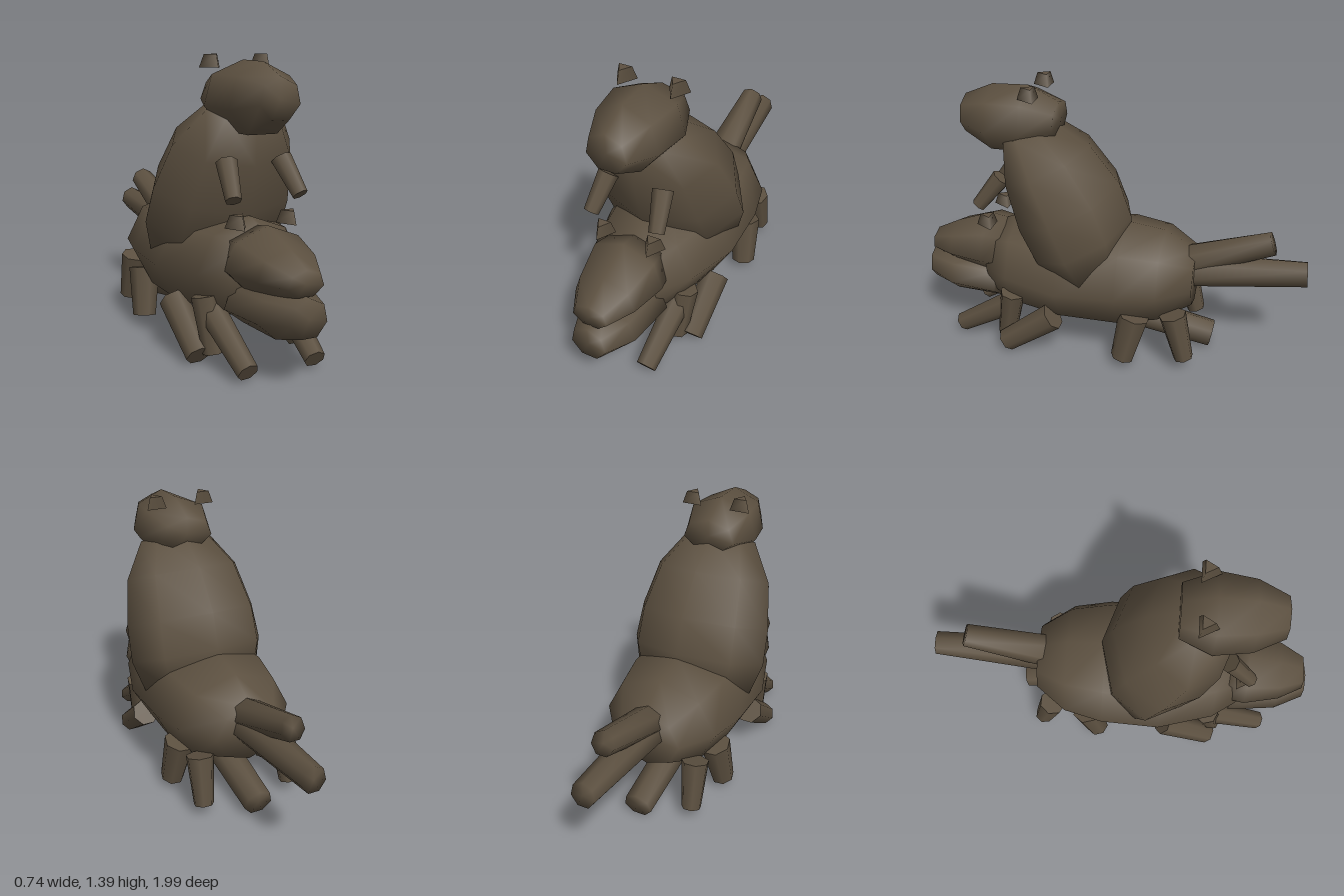
import * as THREE from 'three';

// Closed smooth loft through rings [z, y, halfWidth, halfHeight], front to back; tilt turns each ring upwards.
function loft(rings, sides, tilt = 0) {
  const pos = [], idx = [];
  const c = Math.cos(tilt), s = Math.sin(tilt);
  for (const [z, y, rx, ry] of rings) {
    for (let j = 0; j < sides; j++) {
      const a = (j / sides) * Math.PI * 2;
      const up = Math.cos(a) * ry;
      pos.push(Math.sin(a) * rx, y + up * c, z - up * s);
    }
  }
  for (let i = 0; i < rings.length - 1; i++) {
    for (let j = 0; j < sides; j++) {
      const k = (j + 1) % sides;
      const a = i * sides + j, b = i * sides + k;
      idx.push(a, b, a + sides, b, b + sides, a + sides);
    }
  }
  const front = pos.length / 3, back = front + 1, n = (rings.length - 1) * sides;
  const first = rings[0], last = rings[rings.length - 1];
  pos.push(0, first[1], first[0], 0, last[1], last[0]);
  for (let j = 0; j < sides; j++) {
    const k = (j + 1) % sides;
    idx.push(front, k, j, back, n + j, n + k);
  }
  const g = new THREE.BufferGeometry();
  g.setAttribute('position', new THREE.Float32BufferAttribute(pos, 3));
  g.setIndex(idx);
  g.computeVertexNormals();
  return g;
}

export function createModel() {
  const group = new THREE.Group();
  const fur = new THREE.MeshStandardMaterial({ color: 0x5c5040 });
  fur.name = 'brown fur';

  const add = (name, geometry) => {
    const mesh = new THREE.Mesh(geometry, fur);
    mesh.name = name;
    group.add(mesh);
    return mesh;
  };

  // Tapered prism from a to b
  const limb = (name, a, b, ra, rb, sides = 7) => {
    const p = new THREE.Vector3(...a), q = new THREE.Vector3(...b);
    const dir = q.clone().sub(p);
    const m = add(name, new THREE.CylinderGeometry(ra, rb, dir.length(), sides));
    m.position.copy(p).add(q).multiplyScalar(0.5);
    m.quaternion.setFromUnitVectors(new THREE.Vector3(0, -1, 0), dir.normalize());
  };

  // Lower body
  add('lowerBody', loft([
    [0.64, 0.43, 0.17, 0.19], [0.5, 0.435, 0.27, 0.245], [0.22, 0.42, 0.35, 0.25],
    [-0.08, 0.43, 0.345, 0.27], [-0.28, 0.435, 0.3, 0.235], [-0.44, 0.43, 0.18, 0.145],
  ], 8));

  // Upright body leaning forward
  add('upperBody', loft([
    [0.43, 1.16, 0.19, 0.13], [0.33, 1.0, 0.31, 0.235], [0.225, 0.79, 0.36, 0.285],
    [0.15, 0.62, 0.37, 0.27], [0.09, 0.46, 0.32, 0.2],
  ], 8, 1.18));

  // Heads
  add('upperHead', loft([
    [0.745, 1.22, 0.1, 0.095], [0.6, 1.21, 0.17, 0.165],
    [0.42, 1.215, 0.2, 0.165], [0.265, 1.22, 0.14, 0.085],
  ], 7));
  add('lowerSnout', loft([
    [0.965, 0.485, 0.09, 0.06], [0.84, 0.5, 0.16, 0.105],
    [0.66, 0.51, 0.2, 0.158], [0.56, 0.5, 0.18, 0.15],
  ], 7));
  add('lowerJaw', loft([
    [0.995, 0.345, 0.09, 0.09], [0.85, 0.325, 0.16, 0.115], [0.6, 0.32, 0.19, 0.115],
  ], 7));

  // Paired parts
  for (const [side, s] of [['left', 1], ['right', -1]]) {
    for (const [name, y, z] of [['UpperEar', 1.375, 0.373], ['LowerEar', 0.69, 0.625]]) {
      const ear = add(side + name, new THREE.CylinderGeometry(0.038, 0.06, 0.06, 3));
      ear.position.set(0.13 * s, y, z);
    }
    limb(side + 'Arm', [0.14 * s, 0.94, 0.53], [0.168 * s, 0.79, 0.65], 0.05, 0.037);
    limb(side + 'Foreleg', [0.19 * s, 0.25, 0.5], [0.17 * s, 0.07, 0.795], 0.065, 0.05);
    limb(side + 'InnerLeg', [0.22 * s, 0.33, 0.48], [0.2 * s, 0.07, 0.53], 0.065, 0.05);
    limb(side + 'MiddleLeg', [0.27 * s, 0.25, 0.25], [0.265 * s, 0.06, 0.51], 0.072, 0.06);
    limb(side + 'HindThigh', [0.25 * s, 0.3, -0.17], [0.275 * s, 0.06, -0.115], 0.08, 0.06);
    limb(side + 'HindLeg', [0.23 * s, 0.32, -0.36], [0.24 * s, 0.08, -0.425], 0.07, 0.05);
  }

  // Tails and the stub below the belly
  add('lowerTail', loft([[-0.38, 0.46, 0.095, 0.09], [-0.995, 0.507, 0.062, 0.066]], 7, -0.08));
  add('upperTail', loft([[-0.38, 0.51, 0.09, 0.08], [-0.815, 0.66, 0.06, 0.062]], 7, -0.35));
  add('bellyStub', loft([[0.05, 0.21, 0.085, 0.085], [-0.54, 0.086, 0.075, 0.07]], 7, 0.2));

  return group;
}
